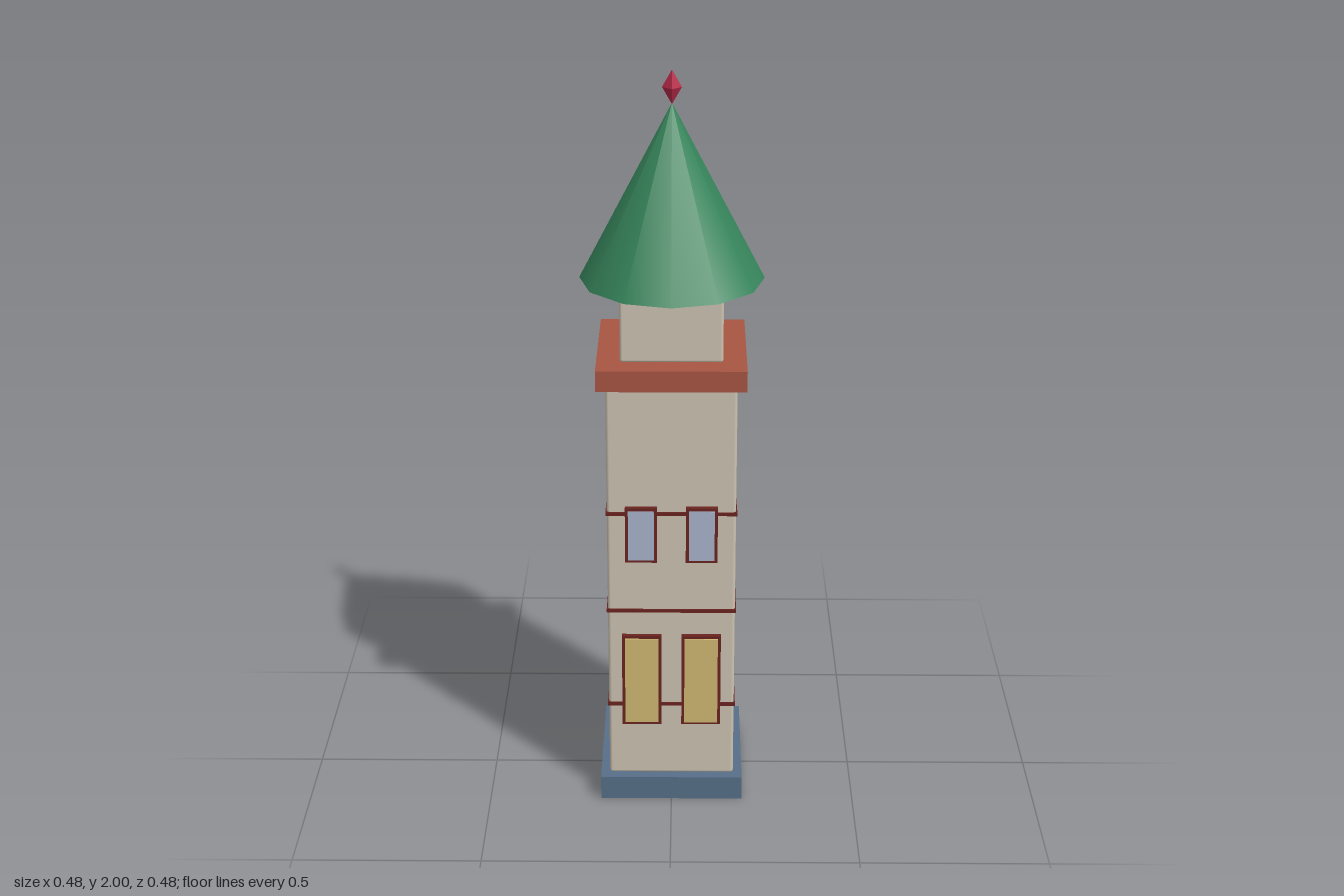
import * as THREE from 'three';
import { RoundedBoxGeometry } from 'three/addons/geometries/RoundedBoxGeometry.js';

const material = (name, color) => {
  const m = new THREE.MeshStandardMaterial({ color });
  m.name = name;
  return m;
};

export function createModel() {
  const tower = new THREE.Group();
  tower.name = 'tower';

  const stone = material('stone', 0xcdc3b1);
  const slate = material('slate blue', 0x566f88);
  const brick = material('brick red', 0xa85543);
  const trim = material('dark red trim', 0x6b2420);
  const green = material('roof green', 0x37865c);
  const glass = material('pale blue glass', 0xa9b4cc);
  const amber = material('amber glass', 0xd0b972);
  const ruby = material('ruby', 0xb52a48);

  const add = (name, geometry, mat, x, y, z, parent = tower) => {
    const mesh = new THREE.Mesh(geometry, mat);
    mesh.name = name;
    mesh.position.set(x, y, z);
    parent.add(mesh);
    return mesh;
  };
  // Square block standing between two heights
  const block = (name, width, y0, y1, mat, radius = 0) => {
    const h = y1 - y0;
    const geometry = radius
      ? new RoundedBoxGeometry(width, h, width, 2, radius)
      : new THREE.BoxGeometry(width, h, width);
    return add(name, geometry, mat, 0, (y0 + y1) / 2, 0);
  };

  // Stacked masonry
  block('base', 0.388, 0, 0.068, slate);
  block('shaft', 0.34, 0.068, 1.213, stone, 0.008);
  block('cornice', 0.388, 1.213, 1.27, brick);
  block('belfry', 0.266, 1.27, 1.456, stone, 0.007);

  // Thin string courses between storeys
  [0.288, 0.574, 0.86].forEach((y, i) => {
    block('stringCourse' + (i + 1), 0.346, y - 0.005, y + 0.005, trim);
  });

  // Framed windows on the front, mirrored about the centre
  const addWindow = (name, x, y, w, h, paneMaterial) => {
    const group = new THREE.Group();
    group.name = name;
    group.position.set(x, y, 0.17);
    add('frame', new THREE.BoxGeometry(w, h, 0.022), trim, 0, 0, 0.002, group);
    add('pane', new THREE.BoxGeometry(w - 0.016, h - 0.016, 0.006), paneMaterial, 0, 0, 0.014, group);
    tower.add(group);
  };
  for (const [side, s] of [['right', -1], ['left', 1]]) {
    addWindow(side + 'UpperWindow', s * 0.08, 0.802, 0.084, 0.158, glass);
    addWindow(side + 'LowerWindow', s * 0.08, 0.367, 0.106, 0.272, amber);
  }

  // Twelve-sided roof and jewel finial
  add('roof', new THREE.ConeGeometry(0.24, 0.46, 12), green, 0, 1.686, 0);
  const jewel = add('finial', new THREE.OctahedronGeometry(1), ruby, 0, 1.956, 0);
  jewel.scale.set(0.025, 0.044, 0.025);

  return tower;
}
